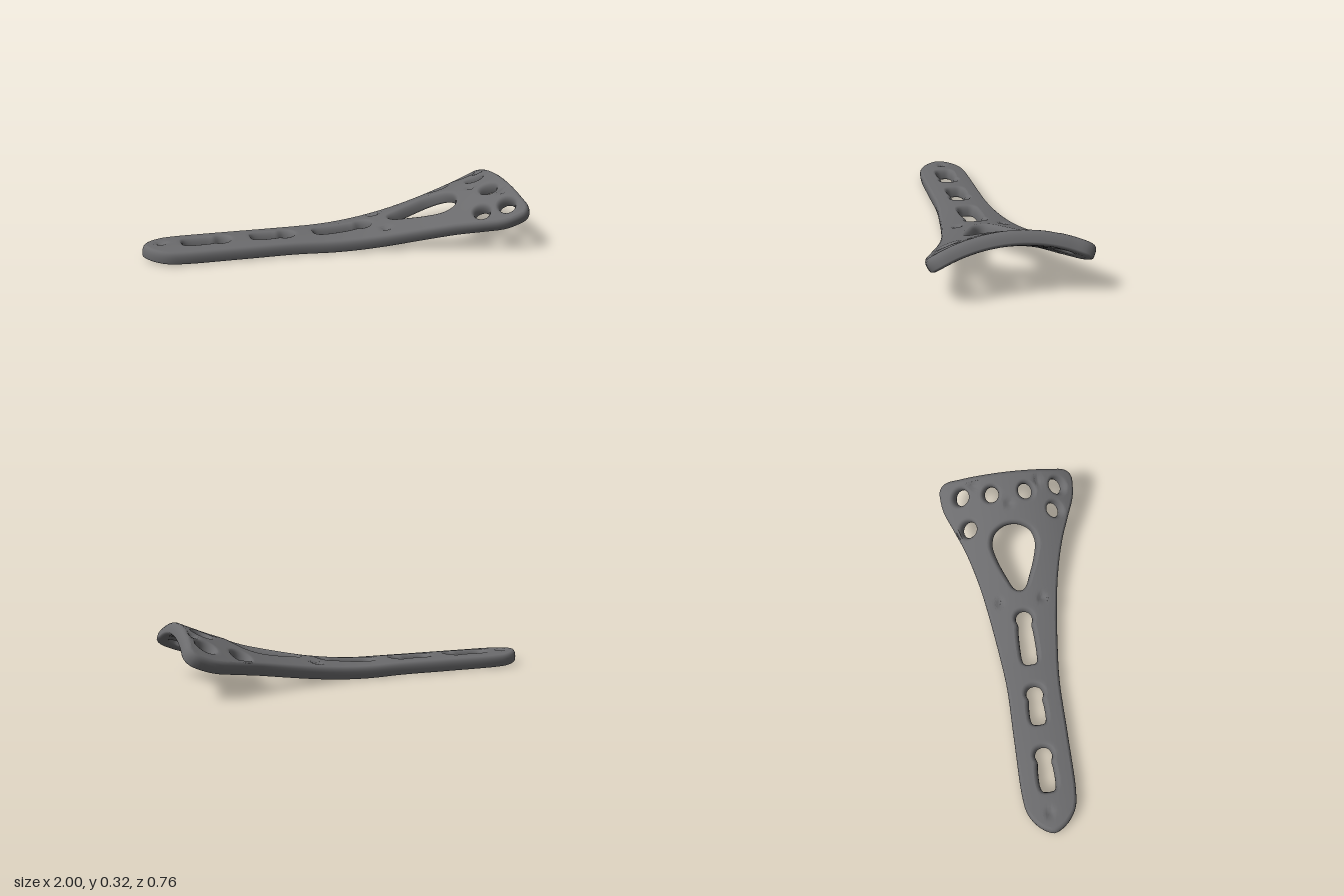
import * as THREE from 'three';
import { mergeVertices } from 'three/addons/utils/BufferGeometryUtils.js';

const plateGrey = new THREE.MeshStandardMaterial({ color: 0x6b6b6d });
plateGrey.name = 'plate grey';

// Smooth closed loop, counter-clockwise and symmetric about the long axis, from half of its profile
function loop(half, count) {
  const mirrored = half.filter(p => p[1] > 0).reverse().map(([x, y]) => [x, -y]);
  const pts = [...half, ...mirrored].map(([x, y]) => new THREE.Vector3(x, y, 0));
  return new THREE.CatmullRomCurve3(pts, true).getSpacedPoints(count)
    .slice(0, -1).map(p => new THREE.Vector2(p.x, p.y)).reverse();
}

// Slot with a wider keyhole at its +x end
const slot = (x0, x1) => loop([
  [x0, 0], [x0 + 0.005, 0.03], [x0 + 0.03, 0.041], [x1 - 0.11, 0.041], [x1 - 0.08, 0.037],
  [x1 - 0.045, 0.047], [x1 - 0.012, 0.033], [x1, 0],
], 56);

function roundHole(x, z, r) {
  return Array.from({ length: 24 }, (_, i) => {
    const a = i / 24 * Math.PI * 2;
    return new THREE.Vector2(x + r * Math.cos(a), -z + r * Math.sin(a));
  });
}

// Split long edges at their midpoints so the flat plate can bend smoothly
function subdivide(geometry, maxEdge) {
  const src = geometry.index ? geometry.toNonIndexed() : geometry;
  const pos = src.attributes.position;
  const out = [];
  const split = (a, b, c) => {
    const ab = a.distanceTo(b), bc = b.distanceTo(c), ca = c.distanceTo(a);
    const longest = Math.max(ab, bc, ca);
    if (longest <= maxEdge) {
      out.push(...a.toArray(), ...b.toArray(), ...c.toArray());
      return;
    }
    if (bc === longest) return split(b, c, a);
    if (ca === longest) return split(c, a, b);
    const m = a.clone().add(b).multiplyScalar(0.5);
    split(a, m, c);
    split(m, b, c);
  };
  const v = i => new THREE.Vector3().fromBufferAttribute(pos, i);
  for (let i = 0; i < pos.count; i += 3) split(v(i), v(i + 1), v(i + 2));
  const result = new THREE.BufferGeometry();
  result.setAttribute('position', new THREE.Float32BufferAttribute(out, 3));
  return result;
}

// Middle surface: rises toward +x and arches across its width
const RADIUS = 0.72;
const surface = (x, z) =>
  0.045 + 0.22 * Math.max(0, x + 0.1) ** 1.9 - (RADIUS - Math.sqrt(RADIUS * RADIUS - z * z));

// Lower the widest band of the rim: soft rounding above, a tighter edge below
const { mapLinear } = THREE.MathUtils;
function rimHeight(h) {
  if (h > 0.007) return mapLinear(h, 0.007, 0.034, -0.004, 0.034);
  if (h < -0.007) return mapLinear(h, -0.034, -0.007, -0.034, -0.021);
  return mapLinear(h, -0.007, 0.007, -0.021, -0.004);
}

// Small pits [x, z] sunk into both faces
const pits = [[-0.9, -0.01], [0.28, -0.12], [0.28, 0.11], [0.93, -0.18], [0.92, 0.17], [0.81, 0]];

function bend(geometry) {
  const pos = geometry.attributes.position;
  const e = 0.001;
  for (let i = 0; i < pos.count; i++) {
    const x = pos.getX(i), z = pos.getZ(i);
    let h = rimHeight(pos.getY(i));
    for (const [px, pz] of pits) {
      const d2 = (x - px) ** 2 + (z - pz) ** 2;
      h *= 1 - 0.55 * Math.exp(-d2 / 0.0004);
    }
    const normal = new THREE.Vector3(
      -(surface(x + e, z) - surface(x - e, z)) / (2 * e), 1,
      -(surface(x, z + e) - surface(x, z - e)) / (2 * e)).normalize();
    pos.setXYZ(i, x + normal.x * h, surface(x, z) + normal.y * h, z + normal.z * h);
  }
}

export function createModel() {
  const group = new THREE.Group();
  group.name = 'fixationPlate';

  // Outline: rounded nose, straight shank, flared head
  const outline = new THREE.Shape(loop([
    [-1, 0], [-0.984, 0.043], [-0.945, 0.09], [-0.885, 0.126], [-0.8, 0.14], [-0.5, 0.143],
    [-0.2, 0.144], [0, 0.162], [0.2, 0.187], [0.4, 0.22], [0.6, 0.272], [0.74, 0.325],
    [0.84, 0.363], [0.9, 0.373], [0.965, 0.37], [0.99, 0.34], [0.985, 0.25], [0.978, 0.12], [0.976, 0],
  ], 260));

  // Slots, teardrop window and round holes
  const teardrop = loop([
    [0.335, 0], [0.35, 0.03], [0.42, 0.065], [0.52, 0.105], [0.6, 0.123],
    [0.66, 0.105], [0.695, 0.055], [0.705, 0],
  ], 64);
  const holes = [
    slot(-0.79, -0.55), slot(-0.43, -0.21), slot(-0.09, 0.22), teardrop,
    roundHole(0.715, -0.235, 0.042), roundHole(0.89, -0.255, 0.041), roundHole(0.87, -0.09, 0.04),
    roundHole(0.87, 0.1, 0.04), roundHole(0.77, 0.245, 0.039), roundHole(0.897, 0.275, 0.04),
  ];
  outline.holes = holes.map(points => new THREE.Path(points));

  const flat = new THREE.ExtrudeGeometry(outline, {
    depth: 0.014, steps: 1, bevelEnabled: true, bevelThickness: 0.027,
    bevelSize: 0.02, bevelOffset: -0.02, bevelSegments: 4,
  });
  flat.translate(0, 0, -0.007);
  flat.rotateX(-Math.PI / 2);

  const geometry = mergeVertices(subdivide(flat, 0.025), 1e-5);
  bend(geometry);
  geometry.computeVertexNormals();
  geometry.computeBoundingBox();
  const { min, max } = geometry.boundingBox;
  geometry.translate(-(min.x + max.x) / 2, -min.y, -(min.z + max.z) / 2);

  const plate = new THREE.Mesh(geometry, plateGrey);
  plate.name = 'perforatedPlate';
  group.add(plate);
  return group;
}
